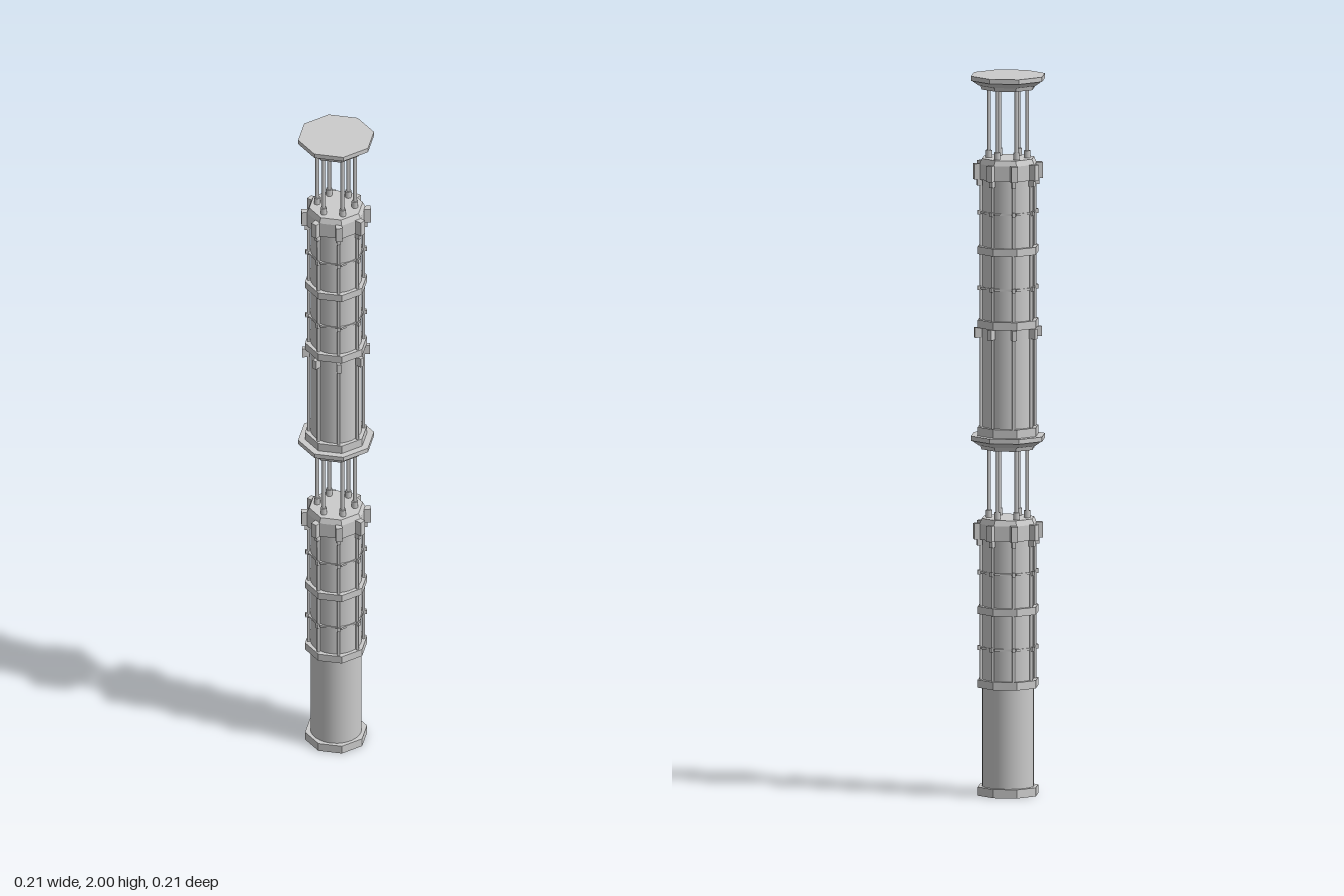
import * as THREE from 'three';

const material = new THREE.MeshStandardMaterial({ color: 0xcccccc });
const flat = new THREE.MeshStandardMaterial({ color: 0xcccccc, flatShading: true });
const PHASE = 0.096; // slight twist of the octagonal parts

function add(parent, name, geometry, mat = material) {
  const mesh = new THREE.Mesh(geometry, mat);
  mesh.name = name;
  parent.add(mesh);
  return mesh;
}

// Octagonal prism or frustum between two heights
function octagon(parent, name, y0, y1, r0, r1 = r0) {
  const mesh = add(parent, name, new THREE.CylinderGeometry(r1, r0, y1 - y0, 8, 1, false, PHASE), flat);
  mesh.position.y = (y0 + y1) / 2;
  return mesh;
}

// Vertical round bar at an angle and distance from the axis
function bar(parent, name, angle, dist, r, y0, y1, sides = 8) {
  const mesh = add(parent, name, new THREE.CylinderGeometry(r, r, y1 - y0, sides));
  mesh.position.set(Math.sin(angle) * dist, (y0 + y1) / 2, Math.cos(angle) * dist);
}

// Box facing outward at an angle, spanning two radii and two heights
function block(parent, name, angle, r0, r1, width, y0, y1) {
  const mesh = add(parent, name, new THREE.BoxGeometry(width, y1 - y0, r1 - r0), flat);
  const r = (r0 + r1) / 2;
  mesh.position.set(Math.sin(angle) * r, (y0 + y1) / 2, Math.cos(angle) * r);
  mesh.rotation.y = angle;
}

function ribs(parent, y0, y1) {
  for (let i = 0; i < 8; i++) bar(parent, 'rib', i * Math.PI / 4, 0.076, 0.0045, y0, y1);
}

function buildSegment(ribbedBase) {
  const g = new THREE.Group();

  // Round core and octagonal collars
  const core = add(g, 'core', new THREE.CylinderGeometry(0.071, 0.071, 0.74, 32));
  core.position.y = 0.38;
  octagon(g, 'baseCollar', 0, 0.024, 0.087);
  octagon(g, 'lowerCollar', 0.3, 0.322, 0.087);
  octagon(g, 'middleCollar', 0.505, 0.526, 0.087);
  octagon(g, 'upperCollar', 0.712, 0.755, 0.082);
  octagon(g, 'topCollar', 0.755, 0.77, 0.082, 0.075);

  // Vertical ribs with thin hoops
  ribs(g, 0.31, 0.72);
  for (const y of [0.41, 0.62]) octagon(g, 'hoop', y - 0.003, y + 0.003, 0.079);
  if (ribbedBase) ribs(g, 0.02, 0.305);

  // Outer clamps and pegs
  for (let i = 0; i < 8; i++) {
    const a = i * Math.PI / 4;
    block(g, 'clamp', a, 0.074, 0.096, 0.018, 0.712, 0.756);
    block(g, 'clampFoot', a, 0.072, 0.087, 0.01, 0.695, 0.712);
    for (const y of [0.41, 0.62]) block(g, 'peg', a, 0.076, 0.085, 0.009, y - 0.006, y + 0.006);
    if (ribbedBase) block(g, 'hook', a, 0.074, 0.094, 0.012, 0.272, 0.3);
  }

  // Six open struts standing in sockets
  for (let i = 0; i < 6; i++) {
    const a = i * Math.PI / 3;
    bar(g, 'strut', a, 0.053, 0.0055, 0.765, 0.972);
    bar(g, 'strutSocket', a, 0.053, 0.009, 0.765, 0.79);
  }

  // Flared cap
  octagon(g, 'capNeck', 0.962, 0.973, 0.076, 0.08);
  octagon(g, 'capFlare', 0.973, 0.987, 0.084, 0.104);
  octagon(g, 'capPlate', 0.987, 1, 0.1065);
  return g;
}

export function createModel() {
  const model = new THREE.Group();
  model.name = 'segmentedColumn';
  for (const i of [0, 1]) {
    const segment = buildSegment(i === 1);
    segment.name = i ? 'upperSegment' : 'lowerSegment';
    segment.position.y = i;
    model.add(segment);
  }
  return model;
}
